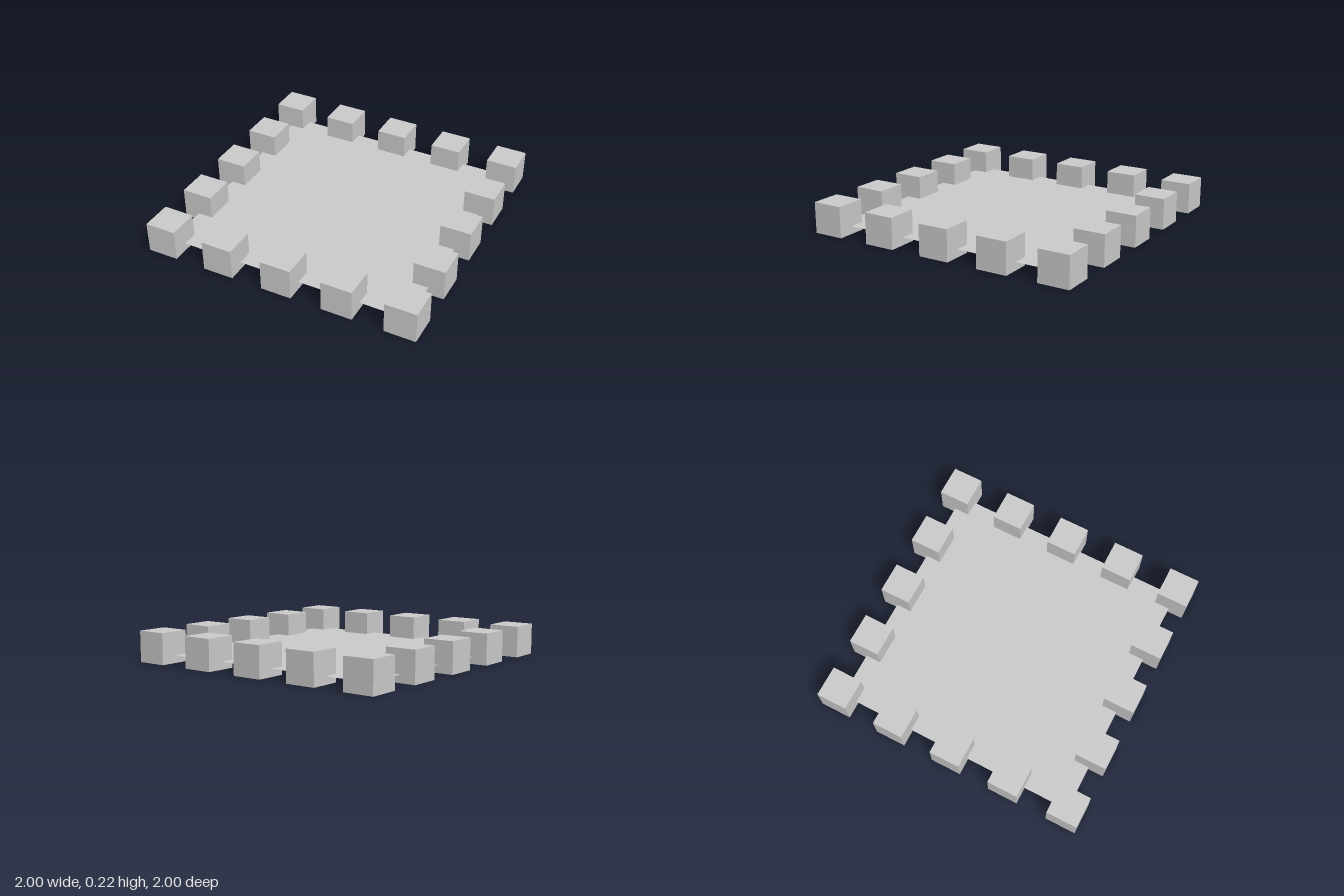
import * as THREE from 'three';

export function createModel() {
  const model = new THREE.Group();
  const size = 2 / 9;        // cube edge
  const step = 4 / 9;        // spacing between cube centres
  const material = new THREE.MeshStandardMaterial({ color: 0xcccccc, flatShading: true });

  // Thin floor sheet, a quarter of the way up the border cubes
  const floor = new THREE.Mesh(
    new THREE.PlaneGeometry(4 * step, 4 * step).rotateX(-Math.PI / 2),
    new THREE.MeshStandardMaterial({ color: 0xcccccc, side: THREE.DoubleSide })
  );
  floor.name = 'floor';
  floor.position.y = size / 4;
  model.add(floor);

  // Ring of cubes around the edge, five per side
  const border = new THREE.Group();
  border.name = 'border';
  const cube = new THREE.BoxGeometry(size, size, size);
  for (let i = -2; i <= 2; i++) {
    for (let j = -2; j <= 2; j++) {
      if (Math.max(Math.abs(i), Math.abs(j)) < 2) continue;
      const block = new THREE.Mesh(cube, material);
      block.name = 'borderCube';
      block.position.set(i * step, size / 2, j * step);
      border.add(block);
    }
  }
  model.add(border);

  return model;
}
